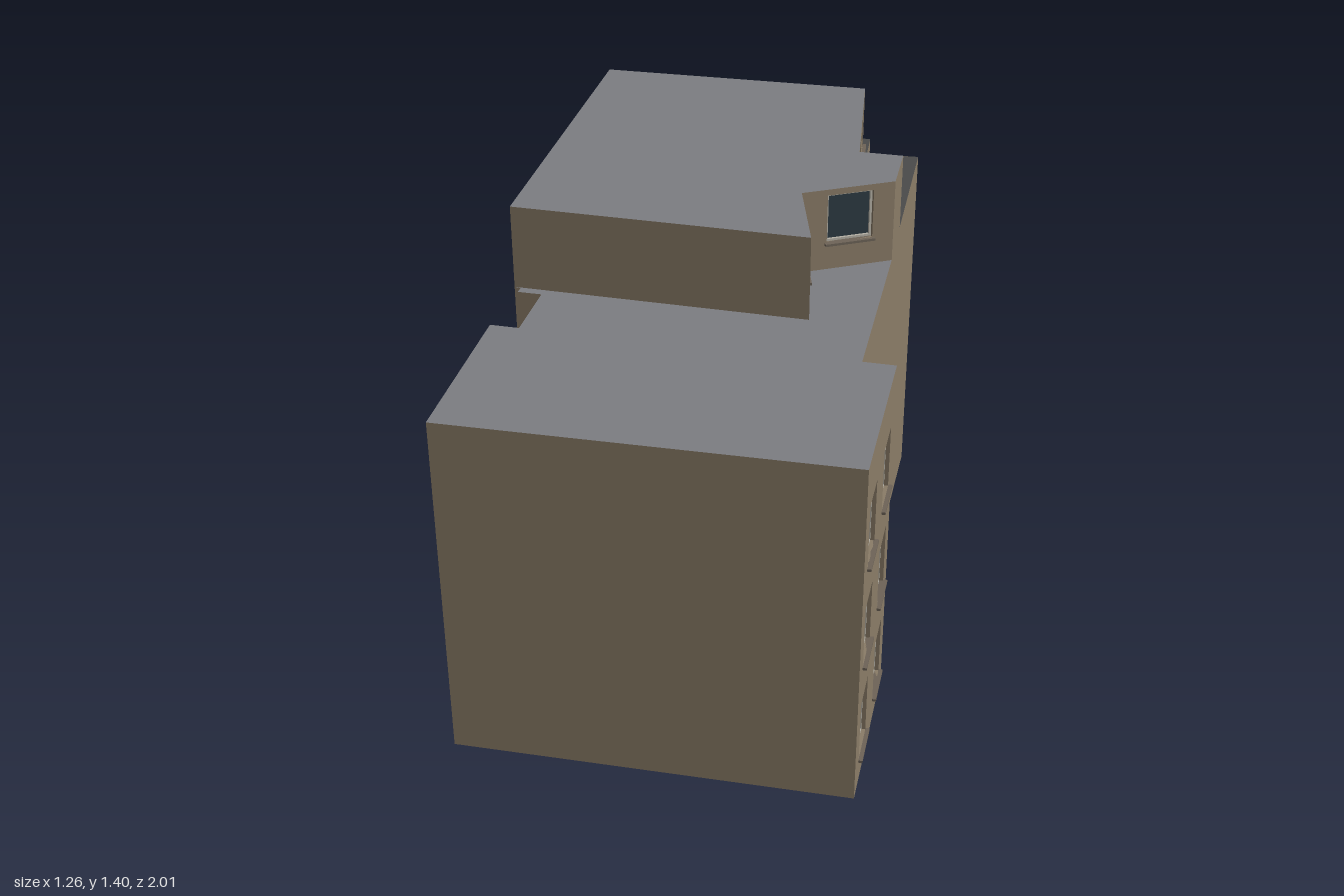
import * as THREE from 'three';

const mat = (color) => new THREE.MeshStandardMaterial({ color, side: THREE.DoubleSide, flatShading: true });
const wallMat = mat(0x8b7d68);
const roofMat = mat(0x7d7e82);
const darkRoofMat = mat(0x4b4b4b);
const glassMat = mat(0x2d3a42);
const wideGlassMat = mat(0x3d444a);
const frameMat = mat(0xb5b1a6);
const sillMat = mat(0x6e6458);

const LOW = 1.13, TOP = 1.4, DEPTH = 0.02;
// height of the sloping side roof
const slopeY = (z) => 1.15 + (-0.46 - z) * 0.123;

const mesh = (geometry, material, name) => {
  const m = new THREE.Mesh(geometry, material);
  m.name = name;
  return m;
};

const polygon = (pts) => new THREE.Shape(pts.map(([x, y]) => new THREE.Vector2(x, y)));

const rect = (x0, y0, x1, y1, Type = THREE.Shape) => {
  const s = new Type();
  s.moveTo(x0, y0).lineTo(x1, y0).lineTo(x1, y1).lineTo(x0, y1).closePath();
  return s;
};

// ring of rectangular section: outer rectangle minus an inset
function ring(w, h, t, depth) {
  const s = rect(-w / 2, -h / 2, w / 2, h / 2);
  s.holes.push(rect(-w / 2 + t, -h / 2 + t, w / 2 - t, h / 2 - t, THREE.Path));
  return new THREE.ExtrudeGeometry(s, { depth, bevelEnabled: false });
}

// recessed window centred on its opening, wall face at z = 0
function makeWindow({ w, h, double }) {
  const g = new THREE.Group();
  g.name = 'window';
  const pane = mesh(new THREE.PlaneGeometry(w, h), double ? wideGlassMat : glassMat, 'pane');
  pane.position.z = -DEPTH;
  const frame = mesh(ring(w, h, 0.007, 0.008), frameMat, 'windowFrame');
  frame.position.z = -DEPTH;
  g.add(pane, frame);
  // reveals of the opening
  for (const s of [-1, 1]) {
    const side = mesh(new THREE.PlaneGeometry(DEPTH, h), wallMat, 'sideReveal');
    side.rotation.y = -s * Math.PI / 2;
    side.position.set(s * w / 2, 0, -DEPTH / 2);
    const cap = mesh(new THREE.PlaneGeometry(w, DEPTH), wallMat, 'capReveal');
    cap.rotation.x = s * Math.PI / 2;
    cap.position.set(0, s * h / 2, -DEPTH / 2);
    g.add(side, cap);
  }
  if (double) {
    const mullion = mesh(new THREE.BoxGeometry(0.01, h, 0.01), frameMat, 'mullion');
    mullion.position.z = -DEPTH + 0.005;
    g.add(mullion);
  }
  const sill = mesh(new THREE.BoxGeometry(w + 0.014, 0.008, DEPTH + 0.012), sillMat, 'sill');
  sill.position.set(0, -h / 2 - 0.004, 0.012 - (DEPTH + 0.012) / 2);
  g.add(sill);
  return g;
}

// wall from a to b (plan x, z), outside on the right hand when walking a to b;
// outline(length) may give a custom elevation
function makeWall(name, a, b, y0, y1, windows = [], outline = null) {
  const dx = b[0] - a[0], dz = b[1] - a[1], len = Math.hypot(dx, dz);
  const g = new THREE.Group();
  g.name = name;
  const shape = outline ? polygon(outline(len)) : rect(0, y0, len, y1);
  for (const win of windows) {
    const { u, y, w, h } = win;
    shape.holes.push(rect(u - w / 2, y - h / 2, u + w / 2, y + h / 2, THREE.Path));
    const m = makeWindow(win);
    m.position.set(u, y, 0);
    g.add(m);
  }
  g.add(mesh(new THREE.ShapeGeometry(shape), wallMat, name + 'Face'));
  g.position.set(a[0], 0, a[1]);
  g.rotation.y = Math.atan2(-dz, dx);
  return g;
}

function makeRoof(name, pts, y, material) {
  const geo = new THREE.ShapeGeometry(polygon(pts.map(([x, z]) => [x, -z])));
  geo.rotateX(-Math.PI / 2);
  const p = geo.attributes.position;
  for (let i = 0; i < p.count; i++) p.setY(i, typeof y === 'function' ? y(p.getZ(i)) : y);
  geo.computeVertexNormals();
  return mesh(geo, material, name);
}

// grid of ordinary windows: distances along the wall, number of floors
const floors = (us, n) => us.flatMap((u) => Array.from({ length: n }, (_, i) => {
  const h = i === 3 ? 0.22 : 0.2;
  return { u, y: 0.088 + 0.34 * i + h / 2, w: 0.135, h };
}));
const attic = (...us) => us.map((u) => ({ u, y: 1.3, w: 0.15, h: 0.16 }));

export function createModel() {
  const model = new THREE.Group();
  model.name = 'apartmentBuilding';
  const wall = (...args) => model.add(makeWall(...args));

  // plan corners
  const f0 = [-0.59, 1], f1 = [0.62, 0.97], f2 = [0.61, 0.405], r0 = [0.51, 0.405];
  const r1 = [0.495, -0.26], r2 = [0.49, -0.46], r3 = [0.485, -0.91];
  const b0 = [0.31, -0.9], b1 = [0.305, -1], b2 = [-0.62, -0.98];
  const l0 = [-0.605, 0.18], l1 = [-0.585, 0.18], l2 = [-0.585, 0.21], l3 = [-0.51, 0.21];
  const l4 = [-0.51, 0.43], l5 = [-0.6, 0.43];
  const u0 = [0.315, 0.19], u1 = [0.23, -0.11], u2 = [0.35, -0.46], u3 = [0.28, -1];

  // front block and left flank
  wall('frontWall', f0, f1, 0, LOW);
  wall('frontLeftWall', f1, f2, 0, LOW, floors([0.14, 0.425], 3));
  wall('leftStep', f2, r0, 0, LOW);
  wall('leftWall', r0, r1, 0, LOW);
  wall('tallLeftWall', r1, r2, 0, TOP);
  wall('slopedLeftWall', r2, r3, 0, 0, [], (n) => [[0, 0], [n, 0], [n, slopeY(r3[1])], [0, slopeY(r2[1])]]);
  wall('backStep', r3, b0, 0, slopeY(r3[1]));
  wall('backReturn', b0, b1, 0, 0, [], (n) => [[0, 0], [n, 0], [n, slopeY(-1)], [0, slopeY(-0.9)]]);

  // back wall with wide double windows
  const backWindows = [];
  for (const u of [0.15, 0.77]) {
    for (let i = 0; i < 4; i++) backWindows.push({ u, y: 1.26 - 0.29 * i, w: 0.215, h: 0.19, double: true });
    backWindows.push({ u, y: 0.185, w: 0.215, h: 0.14, double: true });
  }
  wall('backWall', b1, b2, 0, 0, backWindows, (n) => [
    [0, 0], [n, 0], [n, TOP], [0.025, TOP], [0.025, slopeY(-1)], [0, slopeY(-1)]]);

  // right flank with its recess
  wall('rightWall', b2, l0, 0, TOP, floors([0.17, 0.45, 0.73, 1.015], 4));
  wall('rightCorner', l0, l1, 0, LOW);
  wall('rightCornerReturn', l1, l2, 0, LOW);
  wall('recessBack', l2, l3, 0, LOW);
  wall('recessWall', l3, l4, 0, LOW, floors([0.09], 3));
  wall('recessFront', l4, l5, 0, LOW);
  wall('frontRightWall', l5, f0, 0, LOW, floors([0.145, 0.425], 3));

  // set-back top storey
  wall('upperFrontWall', l0, u0, LOW, TOP);
  wall('upperSideWall', u0, u1, LOW, TOP, attic(0.145));
  wall('upperAngledWall', u1, r1, LOW, TOP, attic(0.16));
  wall('upperReturn', r2, u2, slopeY(-0.46), TOP);
  wall('upperRearSideWall', u2, u3, 0, 0, attic(0.135, 0.405), (n) => [
    [0, slopeY(-0.46)], [n, slopeY(-1)], [n, TOP], [0, TOP]]);

  // roofs
  model.add(
    makeRoof('lowerRoof', [f0, f1, f2, r0, r1, u1, u0, l0, l1, l2, l3, l4, l5], LOW, roofMat),
    makeRoof('upperRoof', [l0, u0, u1, r1, r2, u2, u3, b2], TOP, roofMat),
    makeRoof('slopedRoof', [u2, r2, r3, b0, b1, u3], slopeY, darkRoofMat),
  );
  return model;
}
